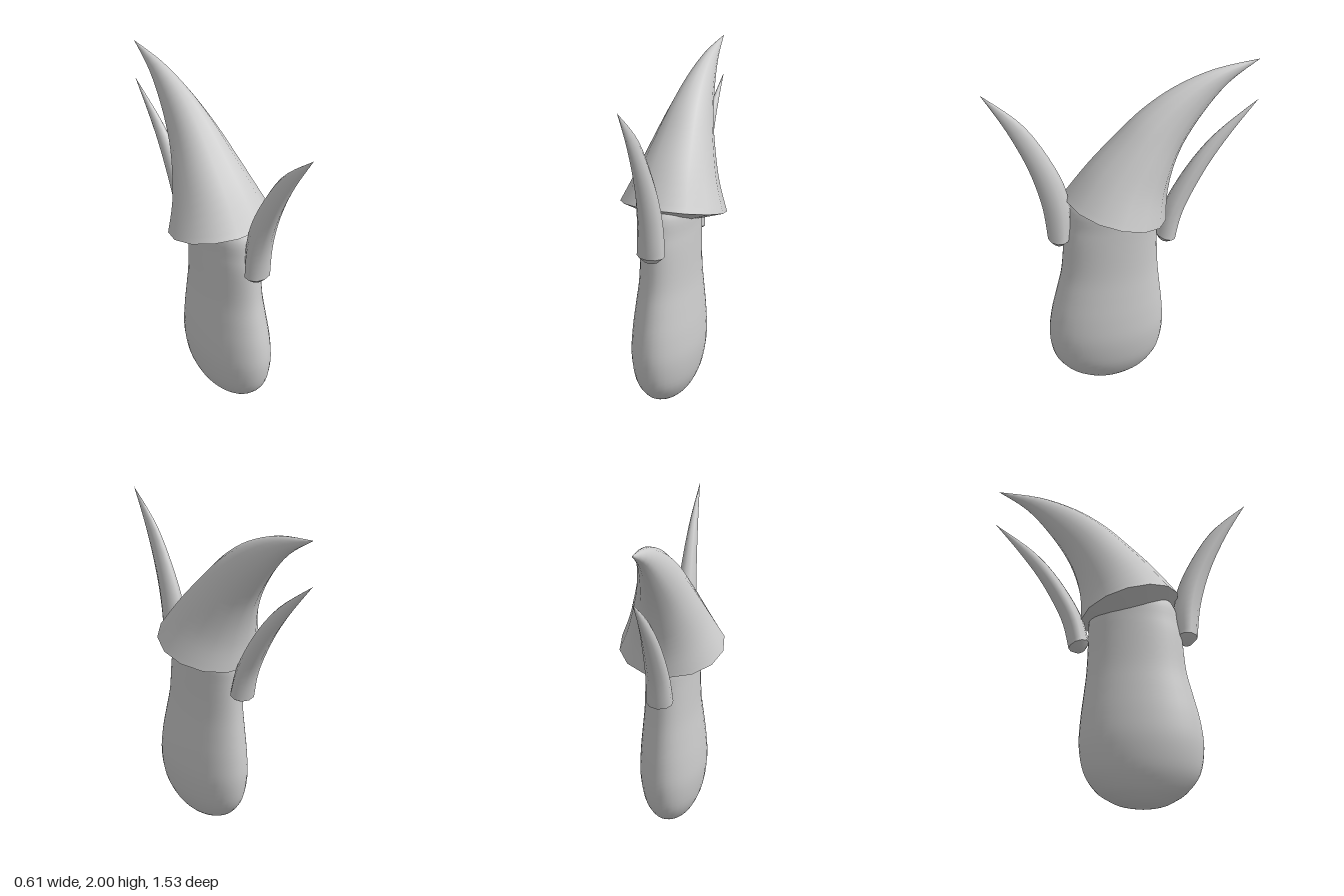
import * as THREE from 'three';

const gray = new THREE.MeshStandardMaterial({ color: 0xcccccc });
gray.name = 'plain gray';

// Skin elliptical rings; a section is [frontZ, frontY, backZ, backY, halfWidth], listed from bottom to top.
function loft(name, sections, sides, steps, turn = 0) {
  const front = new THREE.SplineCurve(sections.map(s => new THREE.Vector2(s[0], s[1])));
  const back = new THREE.SplineCurve(sections.map(s => new THREE.Vector2(s[2], s[3])));
  const width = new THREE.SplineCurve(sections.map(s => new THREE.Vector2(s[4], 0)));
  const positions = [], index = [];
  for (let i = 0; i <= steps; i++) {
    const t = i / steps;
    const f = front.getPoint(t), b = back.getPoint(t), w = Math.max(0, width.getPoint(t).x);
    for (let j = 0; j < sides; j++) {
      const a = turn + (j / sides) * Math.PI * 2;
      const k = (1 + Math.cos(a)) / 2;
      positions.push(Math.sin(a) * w, b.y + (f.y - b.y) * k, b.x + (f.x - b.x) * k);
      if (i < steps) {
        const p = i * sides + j, q = i * sides + (j + 1) % sides;
        index.push(p, q, q + sides, p, q + sides, p + sides);
      }
    }
  }
  const geometry = new THREE.BufferGeometry();
  geometry.setAttribute('position', new THREE.Float32BufferAttribute(positions, 3));
  geometry.setIndex(index);
  geometry.computeVertexNormals();
  const mesh = new THREE.Mesh(geometry, gray);
  mesh.name = name;
  return mesh;
}

// A curved spike closed by a shallow dome bulging below its rim.
function spike(name, sections, sides, steps, bulge, turn) {
  const group = new THREE.Group();
  group.name = name;
  group.add(loft(name + 'Shell', sections, sides, steps, turn));
  const [fz, fy, bz, by, w] = sections[0];
  const cz = (fz + bz) / 2, cy = (fy + by) / 2, dz = fz - bz, dy = fy - by;
  const len = Math.hypot(dz, dy);
  const ring = (scale, depth) => {
    const z = cz + (dy / len) * depth, y = cy - (dz / len) * depth;
    return [z + dz * scale / 2, y + dy * scale / 2, z - dz * scale / 2, y - dy * scale / 2, w * scale];
  };
  group.add(loft(name + 'Base', [ring(0, bulge * 1.1), ring(0.5, bulge), ring(1, 0)], sides, 2, turn));
  return group;
}

export function createModel() {
  const model = new THREE.Group();
  model.name = 'hornedFigure';

  // Body: pear-shaped column, rows of [y, frontZ, backZ, halfWidth]
  const rows = [
    [0, 0.12, 0.12, 0], [0.02, 0.23, 0.0, 0.062], [0.05, 0.295, -0.07, 0.1], [0.1, 0.365, -0.14, 0.137],
    [0.2, 0.435, -0.205, 0.175], [0.35, 0.46, -0.233, 0.195], [0.5, 0.445, -0.228, 0.19],
    [0.65, 0.41, -0.212, 0.175], [0.8, 0.375, -0.197, 0.16], [1.0, 0.355, -0.19, 0.153],
    [1.1, 0.335, -0.188, 0.15], [1.22, 0.305, -0.16, 0.145], [1.3, 0.2, -0.1, 0.1], [1.32, 0.05, 0.05, 0],
  ];
  model.add(loft('body', rows.map(([y, f, b, w]) => [f, y, b, y, w]), 36, 52));

  // Cap: wide cone sweeping backward to a point
  model.add(spike('cap', [
    [0.34, 1.27, -0.235, 1.11, 0.305], [0.2, 1.45, -0.24, 1.25, 0.235], [0.05, 1.61, -0.27, 1.4, 0.18],
    [-0.1, 1.755, -0.33, 1.55, 0.13], [-0.28, 1.875, -0.44, 1.72, 0.083],
    [-0.5, 1.96, -0.58, 1.88, 0.04], [-0.755, 2.0, -0.755, 2.0, 0],
  ], 14, 24, 0.05, 0.14));

  // Front horn: slender, curving forward
  model.add(spike('frontHorn', [
    [0.445, 1.02, 0.318, 1.02, 0.08], [0.47, 1.235, 0.313, 1.21, 0.068], [0.535, 1.47, 0.366, 1.42, 0.05],
    [0.64, 1.71, 0.47, 1.625, 0.028], [0.765, 1.93, 0.765, 1.93, 0],
  ].map((s, i) => (i === 3 ? [0.64, 1.71, 0.54, 1.725, 0.026] : s)), 10, 20, 0.035, 0));

  // Back horn: slender, curving backward
  model.add(spike('backHorn', [
    [-0.185, 0.98, -0.302, 0.943, 0.078], [-0.233, 1.155, -0.35, 1.13, 0.066],
    [-0.366, 1.39, -0.47, 1.367, 0.048], [-0.525, 1.58, -0.604, 1.563, 0.026],
    [-0.763, 1.765, -0.763, 1.765, 0],
  ], 10, 20, 0.03, 0));

  return model;
}
